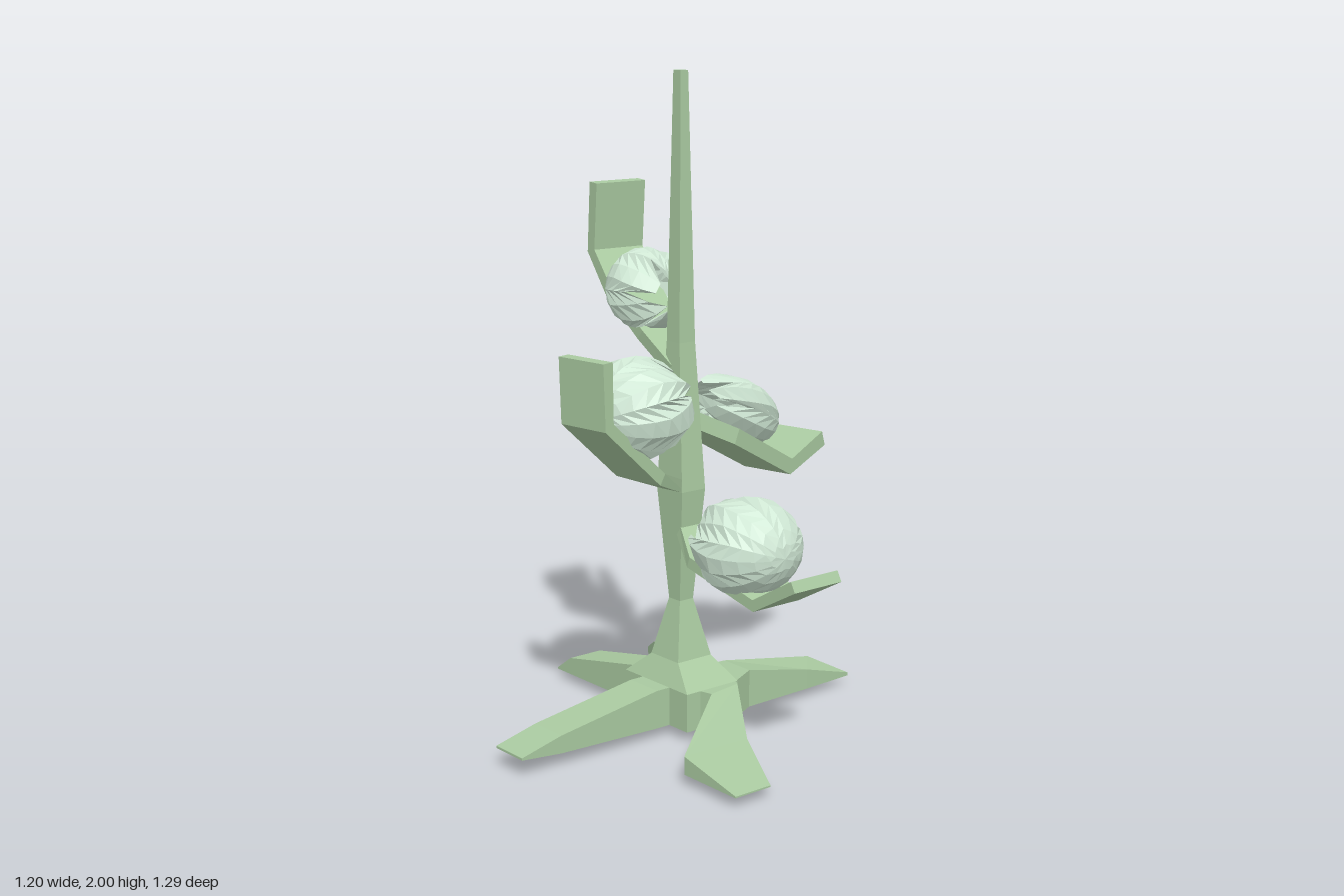
import * as THREE from 'three';

const stemMat = new THREE.MeshStandardMaterial({ color: 0xa9c9a0, flatShading: true, side: THREE.DoubleSide });
const podMat = new THREE.MeshStandardMaterial({ color: 0xd0e8d5, flatShading: true, side: THREE.DoubleSide });

// Skin four-cornered cross-sections (counterclockwise seen from the far end) and cap both ends
function loft(name, sections) {
  const pos = [];
  const quad = (a, b, c, d) => pos.push(...a, ...b, ...c, ...a, ...c, ...d);
  for (let s = 0; s < sections.length - 1; s++) {
    const A = sections[s], B = sections[s + 1];
    for (let i = 0; i < 4; i++) {
      const j = (i + 1) % 4;
      quad(A[i], A[j], B[j], B[i]);
    }
  }
  const first = sections[0], last = sections[sections.length - 1];
  quad(first[3], first[2], first[1], first[0]);
  quad(...last);
  const geo = new THREE.BufferGeometry();
  geo.setAttribute('position', new THREE.Float32BufferAttribute(pos, 3));
  geo.computeVertexNormals();
  const mesh = new THREE.Mesh(geo, stemMat);
  mesh.name = name;
  return mesh;
}

// Root section: left corner x z, right corner x z, bottom y, top y
function root(name, rows) {
  return loft(name, rows.map(([lx, lz, rx, rz, b, t]) =>
    [[lx, b, lz], [lx, t, lz], [rx, t, rz], [rx, b, rz]]));
}

// Bent leaf slab along points [reach, height, half width], turned about the stalk
function leaf(name, yaw, thick, pts) {
  const sections = pts.map(([r, y, w], i) => {
    const p = pts[Math.max(i - 1, 0)], q = pts[Math.min(i + 1, pts.length - 1)];
    const len = Math.hypot(q[0] - p[0], q[1] - p[1]);
    const nz = -(q[1] - p[1]) / len * thick / 2, ny = (q[0] - p[0]) / len * thick / 2;
    return [[w, y - ny, r - nz], [w, y + ny, r + nz], [-w, y + ny, r + nz], [-w, y - ny, r - nz]];
  });
  const mesh = loft(name, sections);
  mesh.position.set(-0.03, 0, -0.01);
  mesh.rotation.y = yaw;
  return mesh;
}

// Egg-shaped bud: round end at local +z, ragged petals closing around the mouth
function pod(name, center, tip, size, spin) {
  const N = 18, M = 9, pos = [], idx = [];
  const rim = [0.87, 0.76, 0.6, 0.8, 0.84, 0.64];
  for (let m = 0; m <= M; m++) {
    for (let i = 0; i < N; i++) {
      const k = (i + spin) % N;
      const reach = rim[k % 6] + 0.03 * Math.sin(k * 2.3);
      const th = Math.PI * reach * m / M;
      // alternate petals tuck slightly under their neighbours
      const tuck = 1 - (m > 5 ? 0.05 * (m - 5) * (k % 3 === 1 ? 1 : 0.2) : 0);
      const a = 2 * Math.PI * (i + (m > 5 ? 0.12 * (m - 5) * Math.sin(k * 1.9) : 0)) / N;
      const r = Math.sin(th) * tuck;
      pos.push(r * Math.cos(a), r * Math.sin(a), Math.cos(th));
    }
  }
  for (let m = 0; m < M; m++) {
    for (let i = 0; i < N; i++) {
      const j = (i + 1) % N, a = m * N + i, b = m * N + j, c = a + N, d = b + N;
      if (m > 0) idx.push(a, c, b);
      idx.push(b, c, d);
    }
  }
  const geo = new THREE.BufferGeometry();
  geo.setAttribute('position', new THREE.Float32BufferAttribute(pos, 3));
  geo.setIndex(idx);
  geo.computeVertexNormals();
  const mesh = new THREE.Mesh(geo, podMat);
  mesh.name = name;
  mesh.position.set(...center);
  mesh.lookAt(...tip);
  mesh.scale.set(...size);
  return mesh;
}

export function createModel() {
  const g = new THREE.Group();
  g.name = 'buddingPlant';

  // Square stalk: height, half width in x, half depth in z
  const rings = [[0.03, 0.15, 0.1], [0.15, 0.15, 0.1], [0.22, 0.065, 0.065], [0.4, 0.026, 0.026],
    [0.75, 0.06, 0.045], [1.2, 0.03, 0.03], [2, 0.017, 0.014]];
  g.add(loft('stalk', rings.map(([y, hx, hz]) => [[1, 1], [1, -1], [-1, -1], [-1, 1]]
    .map(([sx, sz]) => [-0.03 + sx * hx, y, -0.007 + sz * hz]))));

  // Five spreading roots
  g.add(root('rightRoot', [[0, 0.05, 0, -0.07, 0.03, 0.15], [-0.2, 0.05, -0.2, -0.07, 0.03, 0.15],
    [-0.53, 0.05, -0.53, -0.07, 0.03, 0.085], [-0.6, 0.05, -0.6, -0.07, 0.03, 0.035]]));
  g.add(root('frontRoot', [[0.035, 0, -0.095, 0, 0.03, 0.15], [0.035, 0.14, -0.095, 0.14, 0.03, 0.15],
    [0.035, 0.5, -0.095, 0.5, 0.04, 0.095], [0.035, 0.64, -0.095, 0.64, 0.053, 0.06]]));
  g.add(root('backRoot', [[-0.06, 0, 0.12, -0.1, 0.03, 0.15], [-0.05, -0.2, 0.07, -0.2, 0.03, 0.15],
    [-0.03, -0.54, 0.065, -0.45, 0.03, 0.095], [-0.03, -0.56, 0.055, -0.64, 0.03, 0.04]]));
  g.add(root('backRightRoot', [[-0.1, -0.04, 0, -0.1, 0.03, 0.15], [-0.27, -0.15, -0.2, -0.22, 0.025, 0.14],
    [-0.5, -0.275, -0.41, -0.35, 0.01, 0.08], [-0.6, -0.33, -0.535, -0.375, 0, 0.025]]));
  g.add(root('frontLeftRoot', [[0.12, -0.1, -0.02, 0.08, 0.03, 0.15], [0.14, -0.09, 0.16, 0.03, 0.03, 0.15],
    [0.38, 0.08, 0.37, 0.31, 0.03, 0.085], [0.595, 0.18, 0.595, 0.31, 0.03, 0.035]]));

  // Bent leaves cradling the buds
  g.add(leaf('leftLeaf', Math.PI / 2, 0.035,
    [[0, 0.65, 0.025], [0.14, 0.56, 0.09], [0.43, 0.495, 0.09], [0.6, 0.59, 0.09]]));
  g.add(leaf('frontLeaf', 0.14, 0.038,
    [[0, 0.75, 0.03], [0.18, 0.82, 0.09], [0.4, 1.01, 0.09], [0.405, 1.2, 0.09]]));
  g.add(leaf('rightLeaf', -Math.PI / 2 - 0.06, 0.038,
    [[0, 1.1, 0.03], [0.11, 1.21, 0.075], [0.26, 1.33, 0.09], [0.35, 1.44, 0.09], [0.335, 1.65, 0.09]]));
  g.add(leaf('backLeaf', Math.PI + 0.22, 0.05,
    [[0, 0.97, 0.03], [0.16, 0.89, 0.09], [0.45, 0.74, 0.09], [0.63, 0.8, 0.09]]));

  // Buds with their mouths toward the stalk
  g.add(pod('leftBud', [0.275, 0.635, 0], [0.5, 0.63, 0], [0.17, 0.148, 0.175], 0));
  g.add(pod('frontBud', [0, 1.025, 0.18], [0.0, 1.0, 0.4], [0.175, 0.155, 0.17], 4));
  g.add(pod('rightBud', [-0.175, 1.34, 0], [-0.4, 1.35, 0], [0.132, 0.13, 0.132], 8));
  g.add(pod('backBud', [-0.155, 0.925, -0.31], [-0.225, 0.835, -0.53], [0.128, 0.112, 0.23], 11));
  return g;
}
